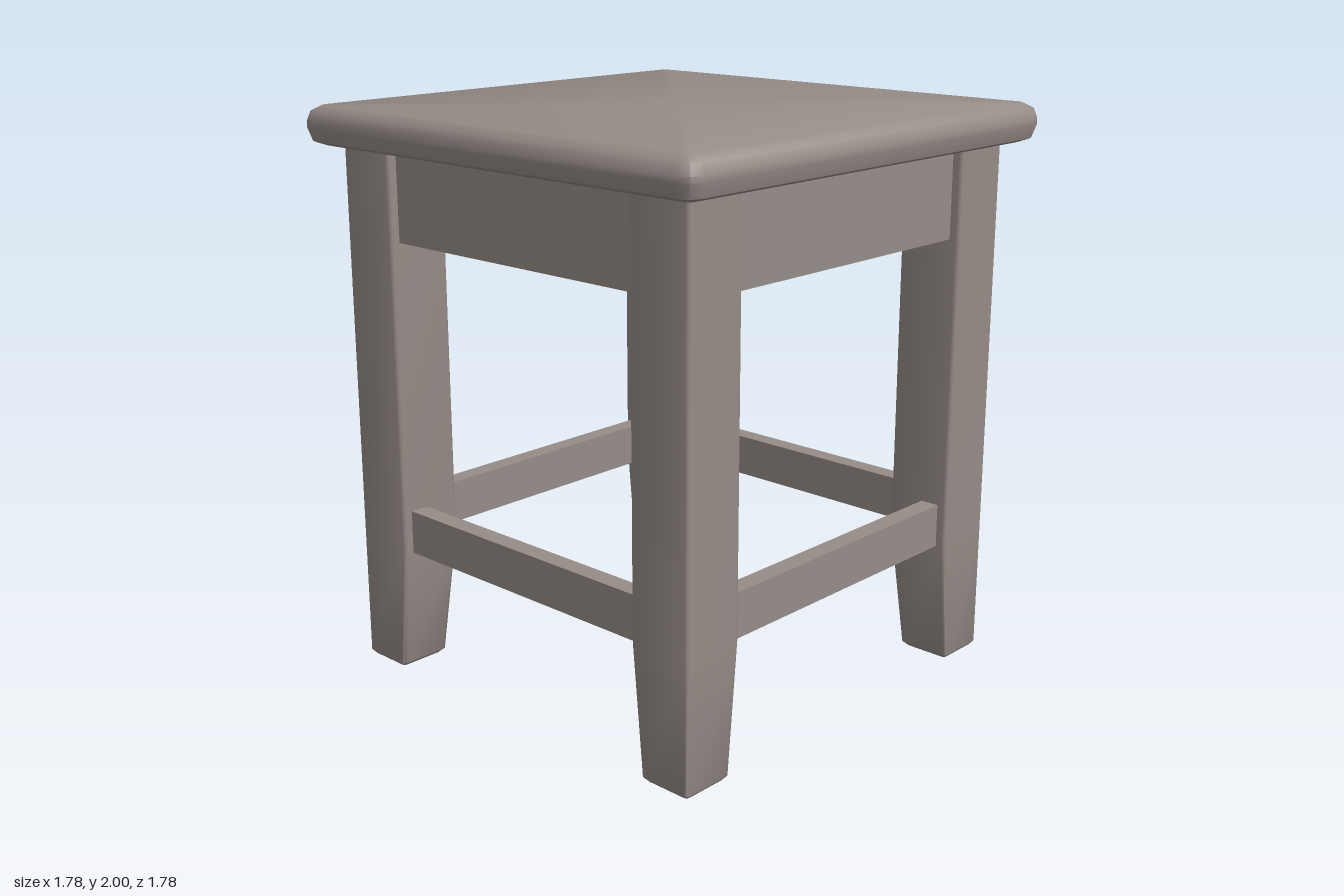
import * as THREE from 'three';
import { toCreasedNormals } from 'three/addons/utils/BufferGeometryUtils.js';

const wood = new THREE.MeshStandardMaterial({ color: 0x968c87 });
wood.name = 'greyWood';

// Rounded rectangle loop [x, y, z], counter-clockwise seen from above
function loop({ y, x0, x1, z0, z1, r }) {
  const k = r * 0.29; // midpoint of each rounded corner
  return [
    [x1 - r, z1], [x1 - k, z1 - k], [x1, z1 - r],
    [x1, z0 + r], [x1 - k, z0 + k], [x1 - r, z0],
    [x0 + r, z0], [x0 + k, z0 + k], [x0, z0 + r],
    [x0, z1 - r], [x0 + k, z1 - k], [x0 + r, z1],
  ].map(([x, z]) => [x, y, z]);
}

// Closed solid through a stack of sections, listed bottom to top
function loft(sections) {
  const loops = sections.map(loop);
  const n = loops[0].length;
  const positions = [];
  const indices = [];
  loops.forEach((l) => l.forEach((p) => positions.push(...p)));
  for (let s = 0; s < loops.length - 1; s++) {
    for (let i = 0; i < n; i++) {
      const j = (i + 1) % n;
      const a = s * n + i, b = s * n + j;
      indices.push(a, b, b + n, a, b + n, a + n);
    }
  }
  // End caps fan out from a centre point
  const top = (loops.length - 1) * n;
  [sections[0], sections[sections.length - 1]].forEach((s) =>
    positions.push((s.x0 + s.x1) / 2, s.y, (s.z0 + s.z1) / 2));
  const centre = loops.length * n;
  for (let i = 0; i < n; i++) {
    const j = (i + 1) % n;
    indices.push(centre, j, i, centre + 1, top + i, top + j);
  }
  const geometry = new THREE.BufferGeometry();
  geometry.setAttribute('position', new THREE.Float32BufferAttribute(positions, 3));
  geometry.setIndex(indices);
  return toCreasedNormals(geometry, 0.82);
}

function add(group, name, geometry, x = 0, y = 0, z = 0) {
  const mesh = new THREE.Mesh(geometry, wood);
  mesh.name = name;
  mesh.position.set(x, y, z);
  group.add(mesh);
  return mesh;
}

export function createModel() {
  const stool = new THREE.Group();
  stool.name = 'stool';

  // Seat slab with a bullnose edge: [half width, height, corner radius]
  const seatProfile = [
    [0.835, 1.865, 0.02], [0.875, 1.88, 0.045], [0.89, 1.925, 0.055],
    [0.89, 1.945, 0.055], [0.877, 1.98, 0.045], [0.84, 2, 0.02],
  ];
  add(stool, 'seat', loft(seatProfile.map(([h, y, r]) =>
    ({ y, x0: -h, x1: h, z0: -h, z1: h, r }))));

  // Legs: outer faces straight, inner faces taper towards the foot
  const outer = 0.79;
  const legProfile = [ // [inner edge, height, edge inset]
    [0.597, 0, 0.012], [0.595, 0.014, 0], [0.555, 0.46, 0], [0.555, 1.87, 0],
  ];
  const span = (side, inner, inset) => {
    const a = side * (inner + inset), b = side * (outer - inset);
    return [Math.min(a, b), Math.max(a, b)];
  };
  for (const sx of [-1, 1]) {
    for (const sz of [-1, 1]) {
      const sections = legProfile.map(([inner, y, inset]) => {
        const [x0, x1] = span(sx, inner, inset);
        const [z0, z1] = span(sz, inner, inset);
        return { y, x0, x1, z0, z1, r: 0.012 };
      });
      add(stool, `${sz > 0 ? 'front' : 'back'}${sx > 0 ? 'Left' : 'Right'}Leg`, loft(sections));
    }
  }

  // Aprons under the seat and stretchers between the legs, on all four sides
  const railThickness = 0.068;
  const railCentre = 0.755 - railThickness / 2;
  const rails = [['Apron', 1.555, 1.868], ['Stretcher', 0.445, 0.6]];
  ['front', 'left', 'back', 'right'].forEach((sideName, i) => {
    const side = new THREE.Group();
    side.name = `${sideName}Rails`;
    side.rotation.y = i * Math.PI / 2;
    for (const [name, y0, y1] of rails) {
      add(side, sideName + name, new THREE.BoxGeometry(1.14, y1 - y0, railThickness),
        0, (y0 + y1) / 2, railCentre);
    }
    stool.add(side);
  });

  return stool;
}
